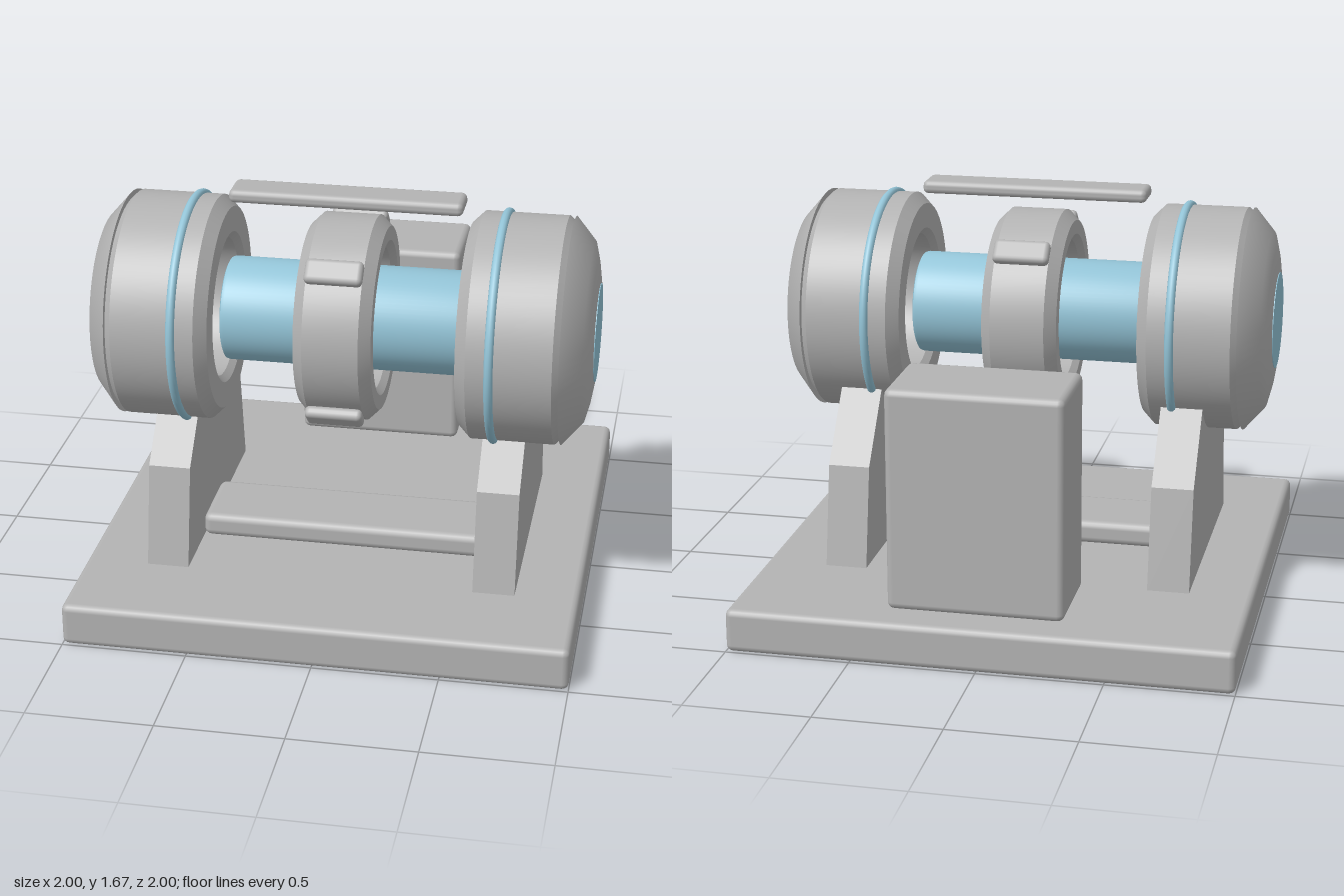
import * as THREE from 'three';
import { toCreasedNormals } from 'three/addons/utils/BufferGeometryUtils.js';
import { RoundedBoxGeometry } from 'three/addons/geometries/RoundedBoxGeometry.js';

const AXIS_Y = 1.14, AXIS_Z = 0.172;

export function createModel() {
  const model = new THREE.Group();
  model.name = 'machine';
  const grey = new THREE.MeshStandardMaterial({ color: 0xb3b3b3 });
  grey.name = 'grey';
  const blue = new THREE.MeshStandardMaterial({ color: 0x94c5d8 });
  blue.name = 'pale blue';

  const add = (name, geometry, material, parent = model) => {
    const mesh = new THREE.Mesh(geometry, material);
    mesh.name = name;
    parent.add(mesh);
    return mesh;
  };

  // Rounded block given by its limits on each axis
  const block = (name, [x0, x1], [y0, y1], [z0, z1], radius) => {
    const mesh = add(name, new RoundedBoxGeometry(x1 - x0, y1 - y0, z1 - z0, 2, radius), grey);
    mesh.position.set((x0 + x1) / 2, (y0 + y1) / 2, (z0 + z1) / 2);
    return mesh;
  };

  // Solid of revolution; the profile is [radius, distance along the axis]
  const turned = (profile) => toCreasedNormals(
    new THREE.LatheGeometry(profile.map(([r, h]) => new THREE.Vector2(r, h)), 72), 0.7);

  // Hollow ring with chamfered edges
  const ring = (h0, h1, inner, outer, c, ci = 0.025) => turned([
    [inner + ci, h0], [outer - c, h0], [outer, h0 + c], [outer, h1 - c], [outer - c, h1],
    [inner + ci, h1], [inner, h1 - ci], [inner, h0 + ci], [inner + ci, h0],
  ]);

  // Base, floor slab, rear cabinet and top bar
  block('base', [-1, 1], [0, 0.175], [-1, 1], 0.027);
  block('floorSlab', [-0.578, 0.578], [0.172, 0.27], [0.005, 0.335], 0.03);
  block('rearCabinet', [-0.345, 0.345], [0.235, 1.115], [-1, -0.615], 0.028);
  block('topBar', [-0.463, 0.463], [1.613, 1.667], [AXIS_Z - 0.077, AXIS_Z + 0.077], 0.022);

  // Everything that turns about the horizontal axis
  const rotor = new THREE.Group();
  rotor.name = 'rotor';
  rotor.position.set(0, AXIS_Y, AXIS_Z);
  model.add(rotor);

  const shaft = turned([[0, -0.482], [0.195, -0.482], [0.205, -0.477], [0.209, -0.465],
    [0.209, 0.465], [0.205, 0.477], [0.195, 0.482], [0, 0.482]]);
  add('shaft', shaft.rotateZ(-Math.PI / 2), blue, rotor);
  add('middleRing', ring(-0.153, 0.153, 0.285, 0.41, 0.043).rotateZ(-Math.PI / 2), grey, rotor);

  // Four pads around the middle ring
  for (let i = 0; i < 4; i++) {
    const angle = Math.PI / 4 + i * Math.PI / 2;
    const pad = add('ringPad', new RoundedBoxGeometry(0.228, 0.05, 0.1, 2, 0.02), grey, rotor);
    pad.position.set(0, 0.431 * Math.cos(angle), 0.431 * Math.sin(angle));
    pad.rotation.x = angle;
  }

  // A drum at each end, with trim band, domed cap and end disc
  for (const side of [1, -1]) {
    const drum = new THREE.Group();
    drum.name = side > 0 ? 'leftDrum' : 'rightDrum';
    drum.rotation.z = -side * Math.PI / 2;
    rotor.add(drum);
    add('drumShell', ring(0.484, 0.905, 0.28, 0.4525, 0.045), grey, drum);
    const cap = turned([[0, 0.885], [0.4525, 0.885], [0.36, 0.965], [0.29, 0.983],
      [0.205, 0.997], [0, 0.998]]);
    add('endCap', cap, grey, drum);
    const band = add('trimBand', new THREE.TorusGeometry(0.451, 0.018, 12, 72), blue, drum);
    band.rotation.x = Math.PI / 2;
    band.position.y = 0.619;
    const disc = add('endDisc', new THREE.CylinderGeometry(0.195, 0.195, 0.004, 48), blue, drum);
    disc.position.y = 0.998;
  }

  // Side stands, drawn as [z, y] and extruded across x
  const outline = [[0.612, 0.17], [0.535, 0.583], [0.32, 0.81], [0.1, 0.81],
    [-0.16, 0.87], [-0.385, 0.583], [-0.458, 0.17]];
  const shape = new THREE.Shape(outline.map(([z, y]) => new THREE.Vector2(z, y)));
  for (const side of [1, -1]) {
    const stand = new THREE.ExtrudeGeometry(shape, { depth: 0.168, bevelEnabled: false });
    stand.rotateY(-Math.PI / 2).translate(0.084 + side * 0.661, 0, 0);
    add(side > 0 ? 'leftStand' : 'rightStand', stand, grey);
  }

  return model;
}
